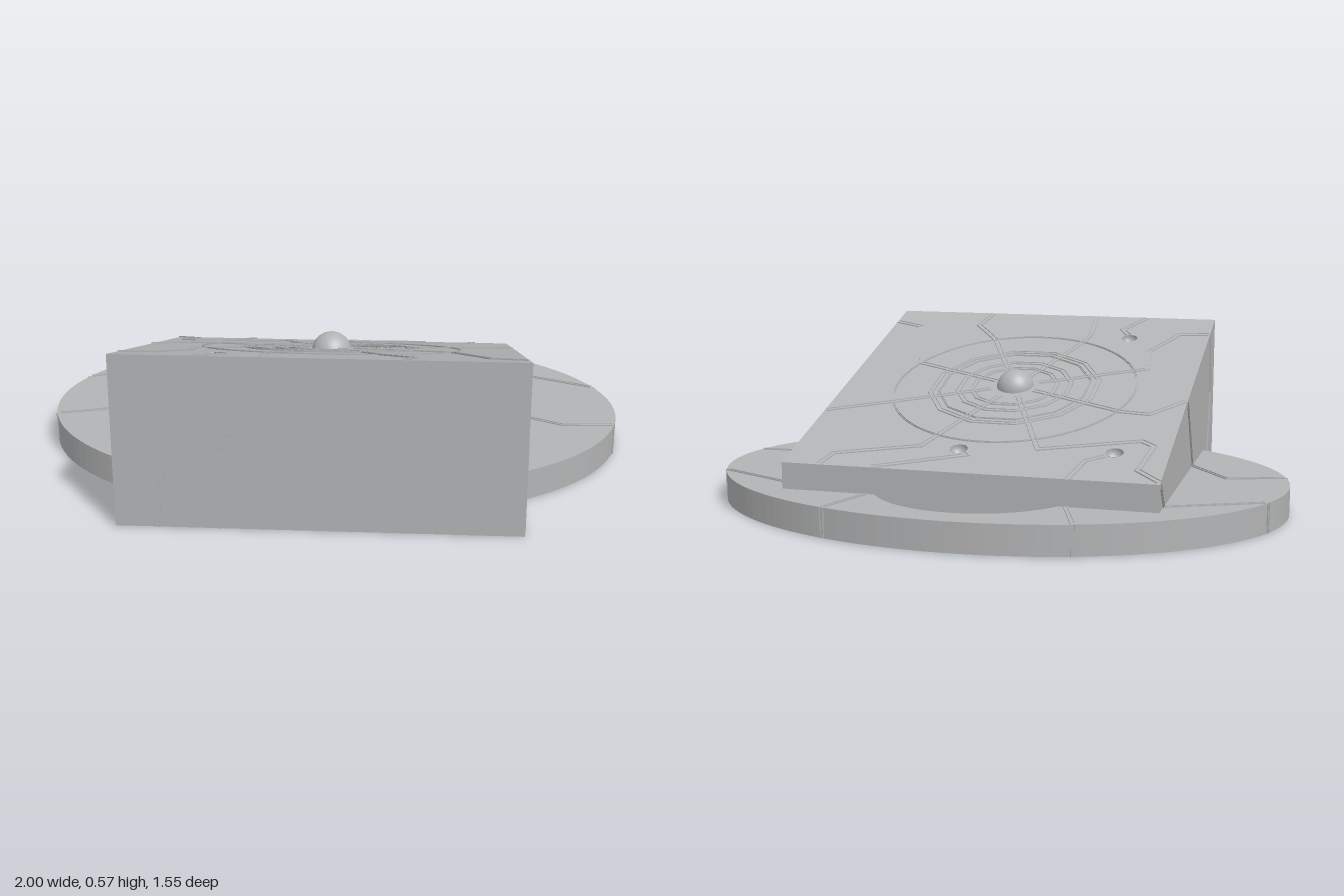
import * as THREE from 'three';

const W = 0.635, ZB = -0.5, ZF = 0.773, HB = 0.19, HF = 0.567; // wedge limits
const RX = 1, RZ = 0.726, CZ = -0.047, BASE = 0.1;              // oval base
const RC = 0.13;                                               // z of the ring centre
const LIP = 0.004;                                             // height of groove lips
const PITS = [[-0.455, -0.315], [0.065, -0.345], [-0.335, 0.575]];
const PIT_R = 0.03;

const stone = new THREE.MeshStandardMaterial({ color: 0xb2b3b4, side: THREE.DoubleSide });
stone.name = 'stone grey';

const slope = (HF - HB) / (ZF - ZB);
const slopeY = (z) => HB + slope * (z - ZB);

// Flat-shaded surface from a list of four-cornered faces
function quads(list) {
  const pos = [];
  for (const [a, b, c, d] of list) for (const p of [a, b, c, a, c, d]) pos.push(...p);
  const g = new THREE.BufferGeometry();
  g.setAttribute('position', new THREE.Float32BufferAttribute(pos, 3));
  g.computeVertexNormals();
  return g;
}

// Mitred channel with two low lips; place maps (u, v, height) to a 3D point
const SECTION = [[1, 0], [1, LIP], [0.6, LIP], [0.6, 0.001], [-0.6, 0.001], [-0.6, LIP], [-1, LIP], [-1, 0]];
function channel(points, width, place, closed = false) {
  const p = points.map(([x, y]) => new THREE.Vector2(x, y));
  const n = p.length;
  const rows = p.map((q, i) => {
    const prev = p[closed ? (i + n - 1) % n : Math.max(i - 1, 0)];
    const next = p[closed ? (i + 1) % n : Math.min(i + 1, n - 1)];
    const a = q.clone().sub(prev).normalize(), b = next.clone().sub(q).normalize();
    const t = a.clone().add(b).normalize();
    const k = width / 2 / Math.max(0.5, t.dot(b.lengthSq() ? b : a));
    return SECTION.map(([s, h]) => place(q.x - t.y * k * s, q.y + t.x * k * s, h));
  });
  const faces = [];
  for (let i = 0; i < (closed ? n : n - 1); i++) {
    const e = rows[i], f = rows[(i + 1) % n];
    for (let j = 0; j < SECTION.length - 1; j++) faces.push([e[j], e[j + 1], f[j + 1], f[j]]);
  }
  return quads(faces);
}

export function createModel() {
  const model = new THREE.Group();
  const add = (name, geometry) => {
    const m = new THREE.Mesh(geometry, stone);
    m.name = name;
    model.add(m);
    return m;
  };

  // Wedge walls, open underneath
  add('wedgeWalls', quads([
    [[-W, 0, ZF], [W, 0, ZF], [W, HF, ZF], [-W, HF, ZF]],
    [[W, 0, ZB], [-W, 0, ZB], [-W, HB, ZB], [W, HB, ZB]],
    [[W, 0, ZF], [W, 0, ZB], [W, HB, ZB], [W, HF, ZF]],
    [[-W, 0, ZB], [-W, 0, ZF], [-W, HF, ZF], [-W, HB, ZB]],
  ]));

  // Sloping top with three round openings, each over a hollow pit
  const topShape = new THREE.Shape([[-W, -ZF], [W, -ZF], [W, -ZB], [-W, -ZB]].map((c) => new THREE.Vector2(...c)));
  for (const [x, z] of PITS) {
    topShape.holes.push(new THREE.Path().absarc(x, -z, PIT_R, 0, 2 * Math.PI, true));
    const pit = add('pit', new THREE.SphereGeometry(PIT_R, 24, 10, 0, 2 * Math.PI, Math.PI / 2, Math.PI / 2));
    pit.position.set(x, slopeY(z), z);
    pit.rotation.x = -Math.atan(slope);
  }
  const top = new THREE.ShapeGeometry(topShape, 24).rotateX(-Math.PI / 2);
  const tp = top.attributes.position;
  for (let i = 0; i < tp.count; i++) tp.setY(i, slopeY(tp.getZ(i)));
  top.computeVertexNormals();
  add('slopingTop', top);

  // Oval base, open at the front inside the wedge, with a round cut-out at the back
  const outline = [];
  const a0 = Math.acos(0.57 / RX), N = 100;
  for (let i = 0; i <= N; i++) {
    const a = a0 - (Math.PI + 2 * a0) * i / N;
    outline.push([RX * Math.cos(a), CZ + RZ * Math.sin(a)]);
  }
  const holeR = 0.368, holeZ = -0.3, h0 = 0.6;
  for (let i = 0; i <= 36; i++) {
    const a = Math.PI - h0 + (Math.PI + 2 * h0) * i / 36;
    outline.push([holeR * Math.cos(a), holeZ + holeR * Math.sin(a)]);
  }
  const plate = new THREE.ShapeGeometry(new THREE.Shape(outline.map(([x, z]) => new THREE.Vector2(x, z))));
  add('basePlate', plate.rotateX(Math.PI / 2).translate(0, BASE, 0));
  add('baseWall', quads(outline.map(([x, z], i) => {
    const [x2, z2] = outline[(i + 1) % outline.length];
    return [[x, 0, z], [x2, 0, z2], [x2, BASE, z2], [x, BASE, z]];
  })));

  // Surfaces that carry the grooves
  const onTop = (x, z, h) => [x, slopeY(z) + h, z];
  const onBase = (x, z, h) => [x, BASE + h, z];
  const onFront = (x, y, h) => [x, y, ZF + h];
  const onLeft = (z, y, h) => [W + h, y, z];
  const onRight = (z, y, h) => [-W - h, y, z];
  const cracks = (name, place, paths, width = 0.016) =>
    paths.forEach((p) => add(name, channel(p, width, place)));

  // Spokes running out into cracks over the slope
  cracks('topCrack', onTop, [
    [[-0.035, 0.05], [-0.2, -0.32], [-0.53, -0.23], [-0.575, -0.26], [-0.55, -0.42], [-0.63, -0.485]],
    [[0.035, 0.05], [0.2, -0.34], [0.48, -0.42], [0.505, -0.495]],
    [[0.08, 0.1], [0.4, -0.03], [0.63, -0.12]],
    [[0.08, 0.165], [0.41, 0.29], [0.52, 0.62], [0.63, 0.66]],
    [[0.035, 0.21], [0.18, 0.52], [0.285, 0.65], [0.26, 0.765]],
    [[-0.035, 0.21], [-0.165, 0.52], [-0.18, 0.6], [-0.165, 0.765]],
    [[-0.08, 0.165], [-0.45, 0.31], [-0.43, 0.46], [-0.52, 0.62], [-0.63, 0.63]],
    [[-0.08, 0.1], [-0.42, -0.03], [-0.52, -0.04], [-0.63, 0.07]],
    [[-0.325, 0.605], [-0.295, 0.65], [-0.37, 0.765]],
    [[-0.43, -0.34], [-0.37, -0.38], [-0.34, -0.495]],
    [[0.045, -0.37], [0.03, -0.385], [0.32, -0.495]],
  ], 0.02);

  // Concentric rings in the plane of the slope: radius, sides, line width
  for (const [r, sides, w] of [[0.44, 64, 0.006], [0.305, 12, 0.018], [0.275, 12, 0.006],
    [0.205, 12, 0.018], [0.155, 12, 0.016]]) {
    const ring = [];
    for (let i = 0; i < sides; i++) {
      const a = (i + 0.5) * 2 * Math.PI / sides;
      ring.push([r * Math.cos(a), RC + 0.96 * r * Math.sin(a)]);
    }
    add('ringGroove', channel(ring, w, onTop, true));
  }

  cracks('frontCrack', onFront, [
    [[-0.37, 0.56], [-0.5, 0.44], [-0.48, 0.2], [-0.505, 0]],
    [[-0.17, 0.56], [-0.23, 0.4], [-0.32, 0.22], [-0.305, 0]],
  ]);
  cracks('leftCrack', onLeft, [
    [[0.668, 0.53], [0.73, 0.29], [0.74, 0]],
    [[-0.11, 0.297], [0.02, 0.17], [0.02, BASE]],
    [[-0.49, 0.14], [-0.42, BASE]],
  ]);
  cracks('rightCrack', onRight, [
    [[0.63, 0.515], [0.66, 0.3], [0.6, 0]],
    [[0.07, 0.35], [0.16, 0.2], [0.22, BASE]],
    [[-0.485, 0.18], [-0.42, BASE]],
  ]);

  // Base cracks continue straight down the rim
  for (const s of [-1, 1]) {
    cracks('baseCrack', onBase, [
      [[s * 0.405, -0.705], [s * 0.335, -0.5]],
      [[s * 0.94, -0.28], [s * 0.635, -0.42]],
      s < 0 ? [[-0.97, 0.1], [-0.78, 0.04], [-0.635, 0.22]] : [[0.975, 0.09], [0.8, 0.1], [0.635, 0.01]],
    ]);
    const onRim = (t, y, h) => [s * (RX + h) * Math.cos(t), y, CZ + (RZ + h) * Math.sin(t)];
    cracks('rimCrack', onRim, [-0.71, -0.275, 0.105].map((z) => {
      const a = Math.asin((z - CZ) / RZ);
      return [[a, 0], [a, BASE]];
    }));
  }

  // Central ball
  add('centreBall', new THREE.SphereGeometry(0.068, 32, 20)).position.set(0, 0.369, 0.14);
  return model;
}
